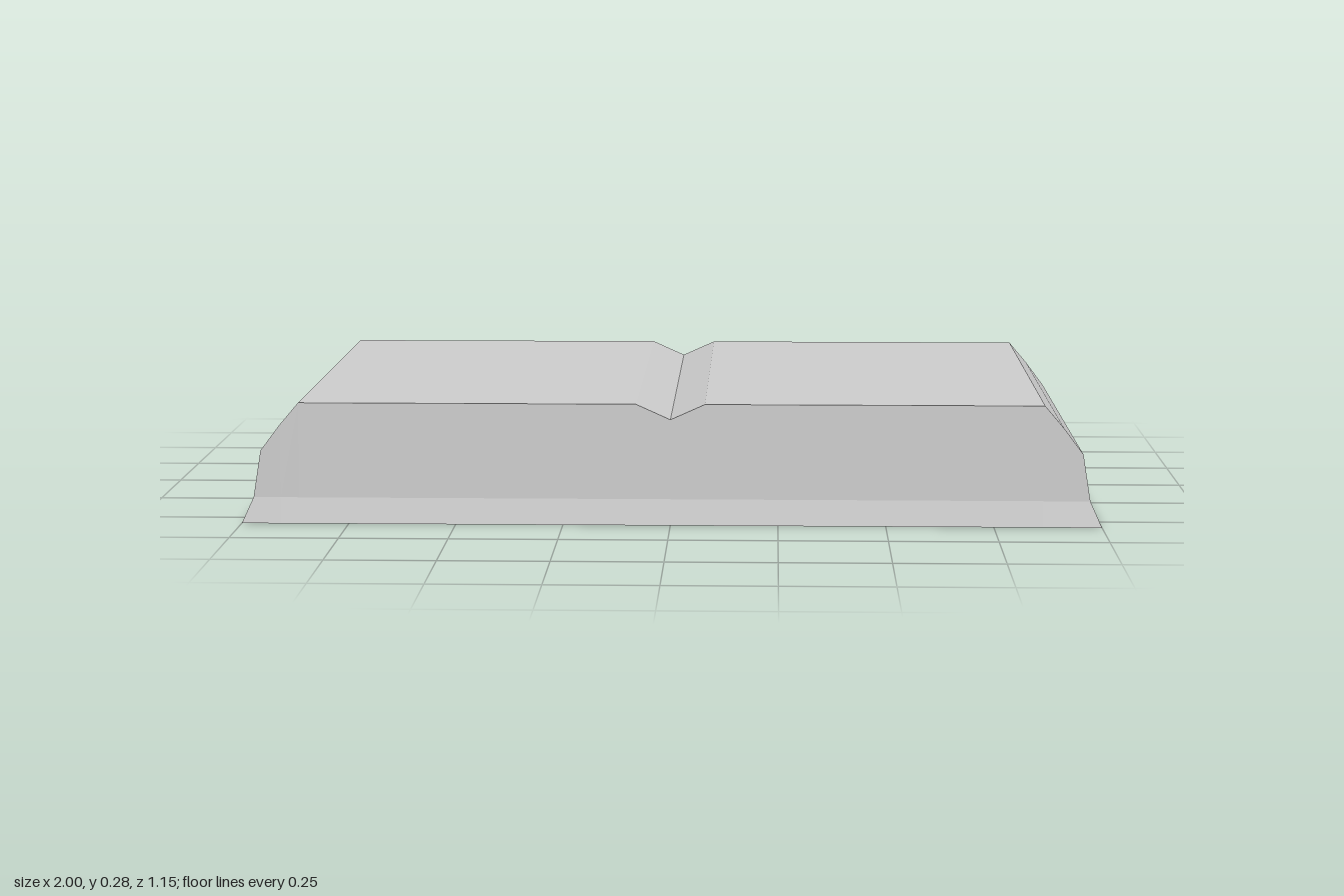
import * as THREE from 'three';

// Height of the block at each distance from the centre fold
const halfProfile = [
  [0, 0.247], [0.08, 0.283], [0.865, 0.283], [0.91, 0.23],
  [0.955, 0.17], [0.973, 0.06], [1, 0],
];
const FOOT = 0.06; // height of the flared foot
const Z_FOOT = 0.573, Z_BODY = 0.562;

// Closed cross-section at x, running from the front foot over the top to the back foot
function section(x, h) {
  const y = Math.min(h, FOOT);
  const z = h > 0 ? Z_BODY : Z_FOOT;
  return [[0, Z_FOOT], [y, z], [h, z], [h, -z], [y, -z], [0, -Z_FOOT]]
    .map(([py, pz]) => new THREE.Vector3(x, py, pz));
}

// Joins consecutive sections, leaving out triangles of no area
function loft(sections) {
  const positions = [];
  const triangle = (a, b, c) => {
    if (new THREE.Triangle(a, b, c).getArea() > 1e-7) {
      for (const p of [a, b, c]) positions.push(p.x, p.y, p.z);
    }
  };
  for (let i = 0; i < sections.length - 1; i++) {
    const s = sections[i], t = sections[i + 1];
    for (let j = 0; j < s.length; j++) {
      const k = (j + 1) % s.length;
      triangle(s[j], t[j], t[k]);
      triangle(s[j], t[k], s[k]);
    }
  }
  const geometry = new THREE.BufferGeometry();
  geometry.setAttribute('position', new THREE.Float32BufferAttribute(positions, 3));
  geometry.computeVertexNormals();
  return geometry;
}

export function createModel() {
  const group = new THREE.Group();
  group.name = 'openBook';

  // Mirror the half profile about the fold
  const left = halfProfile.slice(1).reverse().map(([x, h]) => [-x, h]);
  const sections = [...left, ...halfProfile].map(([x, h]) => section(x, h));

  const pages = new THREE.Mesh(
    loft(sections),
    new THREE.MeshStandardMaterial({ color: 0xcccccc, flatShading: true }),
  );
  pages.name = 'pageBlock';
  group.add(pages);
  return group;
}
